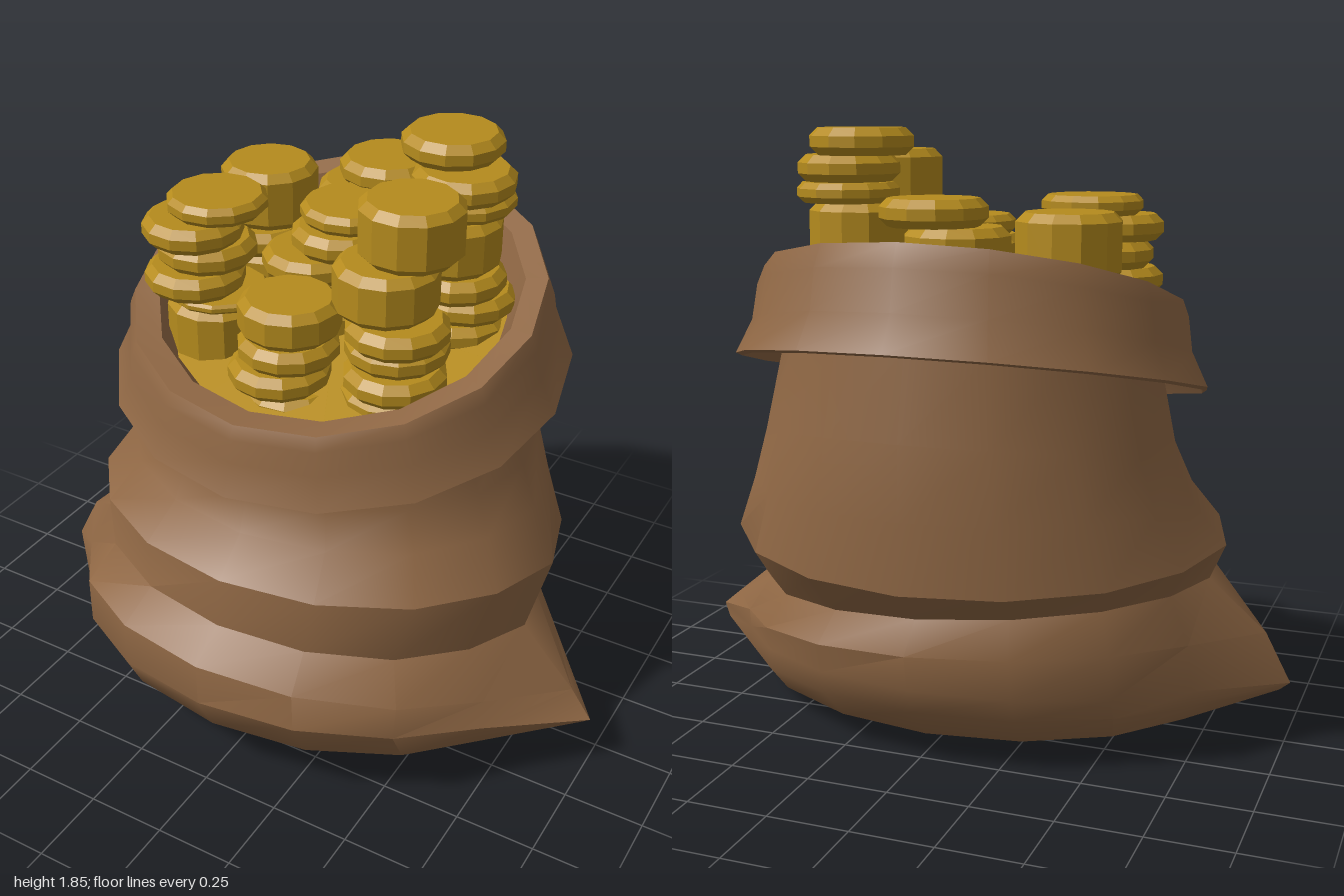
import * as THREE from 'three';
import { toCreasedNormals } from 'three/addons/utils/BufferGeometryUtils.js';

const SEGMENTS = 16;
const LEAN = -0.015; // sideways lean of everything above the base

// One point of a ring:
// [halfX, zFront, zBack, yFront, ySide, yBack, pull of the side corners, sideways tilt]
function ringPoint([hx, zF, zB, yF, yS, yB, pull = 0, tilt = 0], t) {
  const s = Math.sin(t), c = Math.cos(t);
  const x = hx * s * (1 - pull * (1 - s ** 30));
  const y = yS + ((c > 0 ? yF : yB) - yS) * Math.abs(c) - tilt * x;
  return [x + (y > 0.4 ? LEAN : 0), y, (zF + zB) / 2 + ((zF - zB) / 2) * c - tilt * x * 0.3];
}

// Skin a list of rings
function loft(rings) {
  const positions = [], index = [];
  rings.forEach((ring, i) => {
    for (let j = 0; j < SEGMENTS; j++) {
      positions.push(...ringPoint(ring, (j / SEGMENTS) * Math.PI * 2));
      if (i === rings.length - 1) continue;
      const k = (j + 1) % SEGMENTS;
      const a = i * SEGMENTS + j, b = i * SEGMENTS + k;
      index.push(a, b, b + SEGMENTS, a, b + SEGMENTS, a + SEGMENTS);
    }
  });
  const geometry = new THREE.BufferGeometry();
  geometry.setAttribute('position', new THREE.Float32BufferAttribute(positions, 3));
  geometry.setIndex(index);
  return toCreasedNormals(geometry, 0.68);
}

// Bevelled coin, origin at its underside
function coinGeometry(radius, height) {
  const b = Math.min(0.025, height * 0.3);
  const profile = [[0, 0], [radius - b, 0], [radius, b], [radius, height - b], [radius - b, height], [0, height]];
  return new THREE.LatheGeometry(profile.map(([x, y]) => new THREE.Vector2(x, y)), 12);
}

export function createModel() {
  const group = new THREE.Group();
  const cloth = new THREE.MeshStandardMaterial({ color: 0x8f6744, side: THREE.DoubleSide });
  const gold = new THREE.MeshStandardMaterial({ color: 0xb58b1d, flatShading: true });

  // Slumped base with pointed corners, then a sagging fold and the neck
  const body = [
    [0.01, -0.09, -0.11, 0, 0, 0],
    [0.5, 0.3, -0.3, 0.03, 0.05, 0.01, 0.03],
    [0.87, 0.53, -0.46, 0.07, 0.11, 0.06, 0.12],
    [0.97, 0.7, -0.57, 0.19, 0.14, 0.17, 0.18],
    [1.0, 0.77, -0.6, 0.33, 0.17, 0.25, 0.21, -0.01],
    [0.92, 0.75, -0.62, 0.45, 0.28, 0.36, 0.15, 0.04],
    [0.73, 0.63, -0.57, 0.525, 0.44, 0.46, 0.02, 0.06],
    [0.795, 0.61, -0.7, 0.68, 0.62, 0.57, 0.02],
    [0.7, 0.49, -0.69, 0.78, 0.76, 0.78],
    [0.645, 0.45, -0.68, 0.9, 0.89, 1.0],
    [0.6, 0.45, -0.63, 1.0, 1.12, 1.25],
    [0.6, 0.45, -0.62, 1.1, 1.26, 1.42],
  ];
  const sack = new THREE.Mesh(loft(body), cloth);
  sack.name = 'sackBody';
  group.add(sack);

  // Turned-down cuff hanging free of the neck, over the rim and inside to the fill
  const floor = [0.53, 0.38, -0.57, 1.12, 1.24, 1.37];
  const cuff = [
    [0.6, 0.45, -0.62, 1.1, 1.26, 1.42],
    [0.655, 0.495, -0.675, 1.05, 1.2, 1.36],
    [0.72, 0.55, -0.75, 0.945, 1.1, 1.255],
    [0.735, 0.565, -0.775, 0.955, 1.11, 1.265],
    [0.685, 0.525, -0.72, 1.05, 1.21, 1.37],
    [0.67, 0.525, -0.7, 1.13, 1.31, 1.49],
    [0.65, 0.505, -0.67, 1.17, 1.36, 1.555],
    [0.58, 0.42, -0.605, 1.17, 1.36, 1.53],
    floor,
  ];
  const cuffMesh = new THREE.Mesh(loft(cuff), cloth);
  cuffMesh.name = 'cuff';
  group.add(cuffMesh);

  // Gold surface filling the mouth
  const fill = new THREE.Mesh(loft([floor, [0.005, -0.085, -0.095, 1.245, 1.245, 1.245]]), gold);
  fill.name = 'goldFill';
  group.add(fill);

  // Stacks: x, z, base y, then coins as [height, dx, dz]
  const thin = 0.08;
  const stacks = [
    ['frontLeftStack', 0.32, 0.08, 1.1, [[0.1, -0.02, 0.02], [thin, 0, 0.05], [thin, -0.01, 0.02], [thin, 0.01, 0.06], [0.16, -0.04, 0.04], [0.18, 0.01, -0.01]]],
    ['frontRightStack', -0.34, 0.08, 1.11, [[0.21, 0.01, 0], [0.03, 0.02, 0], [thin, -0.04, 0.04], [thin, -0.02, 0], [thin, -0.04, 0.04], [0.06, 0.01, -0.02]]],
    ['frontMiddleStack', -0.005, 0.18, 1.08, [[0.08, 0.01, 0], [thin, -0.02, 0.03], [thin, 0, 0.01], [0.12, 0, 0]]],
    ['middleStack', -0.045, -0.13, 1.2, [[0.1, 0, 0], [thin, -0.03, 0], [thin, -0.05, 0.03], [thin, 0.03, -0.01], [0.06, 0.04, -0.05]]],
    ['backMiddleStack', -0.02, -0.41, 1.26, [[0.12, -0.04, 0], [0.1, 0, -0.02], [0.1, -0.05, 0.01], [0.08, 0.01, -0.02]]],
    ['backLeftStack', 0.32, -0.25, 1.22, [[thin, 0.02, 0.02], [thin, 0.04, 0], [thin, 0.02, 0.04], [0.17, 0, 0.04], [0.06, 0.02, 0], [0.08, 0.03, 0.03], [0.08, -0.04, -0.03]]],
    ['backRightStack', -0.365, -0.28, 1.25, [[0.1, 0, 0], [thin, -0.01, 0.03], [0.19, 0, -0.01]]],
  ];
  stacks.forEach(([name, x, z, base, coins], s) => {
    const stack = new THREE.Group();
    stack.name = name;
    stack.position.set(x + LEAN, base, z);
    let y = 0;
    coins.forEach(([height, dx, dz], i) => {
      const coin = new THREE.Mesh(coinGeometry(0.155, height), gold);
      coin.name = 'coin';
      coin.position.set(dx, y, dz);
      coin.rotation.y = s * 0.7 + i * 1.3;
      y += height;
      stack.add(coin);
    });
    group.add(stack);
  });
  return group;
}
